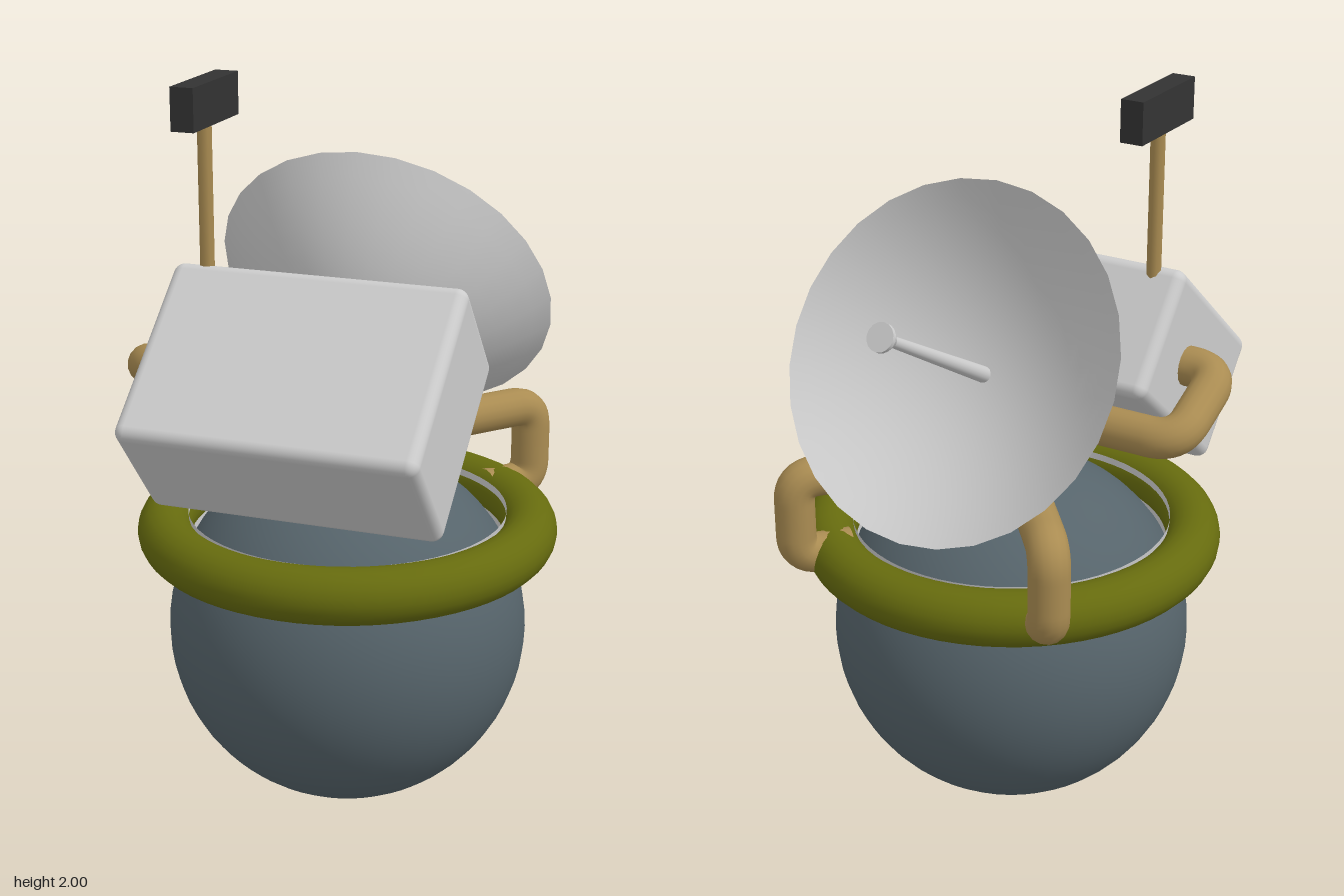
import * as THREE from 'three';
import { RoundedBoxGeometry } from 'three/addons/geometries/RoundedBoxGeometry.js';

const V = (x, y, z) => new THREE.Vector3(x, y, z);
const paint = (color) => new THREE.MeshStandardMaterial({ color });

// Pipe path: straight runs joined by rounded elbows
function pipe(points, bend, radius) {
  const path = new THREE.CurvePath();
  let start = points[0];
  for (let i = 1; i < points.length - 1; i++) {
    const corner = points[i];
    const a = corner.clone().add(points[i - 1].clone().sub(corner).setLength(bend));
    const b = corner.clone().add(points[i + 1].clone().sub(corner).setLength(bend));
    path.add(new THREE.LineCurve3(start, a));
    path.add(new THREE.QuadraticBezierCurve3(a, corner, b));
    start = b;
  }
  path.add(new THREE.LineCurve3(start, points[points.length - 1]));
  return new THREE.TubeGeometry(path, 80, radius, 16);
}

export function createModel() {
  const model = new THREE.Group();
  const grey = paint(0xcccccc);
  const olive = paint(0x666b0e);
  const tan = paint(0xaa8c52);
  const slate = paint(0x56646b);
  const dark = paint(0x333333);

  function add(name, geometry, material, x = 0, y = 0, z = 0, parent = model) {
    const mesh = new THREE.Mesh(geometry, material);
    mesh.name = name;
    mesh.position.set(x, y, z);
    parent.add(mesh);
    return mesh;
  }

  // Spherical body and the collar around it
  add('body', new THREE.SphereGeometry(0.49, 48, 32), slate, 0, 0.49, 0);
  add('collar', new THREE.TorusGeometry(0.495, 0.074, 20, 64), olive, 0, 0.777, 0).rotation.x = Math.PI / 2;
  const bandMaterial = paint(0xcccccc);
  bandMaterial.side = THREE.DoubleSide;
  add('collarLining', new THREE.CylinderGeometry(0.432, 0.422, 0.12, 64, 1, true), bandMaterial, 0, 0.77, 0);

  // Hub: twelve alternating panels under a cone
  const hub = new THREE.Group();
  hub.name = 'hub';
  model.add(hub);
  const olivePanel = paint(0x666b0e);
  const greyPanel = paint(0xcccccc);
  olivePanel.flatShading = greyPanel.flatShading = true;
  for (let i = 0; i < 12; i++) {
    const panel = new THREE.CylinderGeometry(0.173, 0.173, 0.12, 1, 1, false, i * Math.PI / 6, Math.PI / 6);
    add('hubPanel', panel, i % 2 ? greyPanel : olivePanel, 0, 1.03, 0, hub);
  }
  add('hubCone', new THREE.ConeGeometry(0.173, 0.16, 12), olivePanel, 0, 1.17, 0, hub);

  // Rear arms: out from the hub, down, and back into the collar
  for (const [name, s] of [['leftArm', 1], ['rightArm', -1]]) {
    const points = [V(0, 1.02, 0), V(s * 0.385, 1.02, -0.46), V(s * 0.385, 0.795, -0.46), V(s * 0.29, 0.795, -0.347)];
    add(name, pipe(points, 0.065, 0.054), tan);
  }

  // Side pipe from the hub round to the equipment box
  add('boxPipe', pipe([V(0, 1.15, 0), V(-0.492, 1.15, 0), V(-0.492, 1.255, 0.242), V(-0.3, 1.255, 0.242)], 0.08, 0.054), tan);

  // Tilted equipment box
  add('equipmentBox', new RoundedBoxGeometry(0.79, 0.36, 0.54, 4, 0.03), grey, 0, 1.225, 0.303).rotation.x = THREE.MathUtils.degToRad(40);

  // Mast with sensor head
  add('mast', new THREE.CylinderGeometry(0.02, 0.02, 0.46, 8), tan, -0.308, 1.68, 0.203);
  add('sensorHead', new THREE.BoxGeometry(0.062, 0.11, 0.28), dark, -0.304, 1.945, 0.205);

  // Dish: parabolic outside, shallower parabolic inside, meeting at a sharp rim
  const dish = new THREE.Group();
  dish.name = 'dish';
  dish.position.set(0, 1.378, -0.305);
  dish.rotation.x = -Math.PI / 3;
  model.add(dish);
  const R = 0.47;
  const bowl = (depth) => Array.from({ length: 13 }, (_, i) => {
    const t = i / 12;
    return new THREE.Vector2(R * t, -depth * (1 - t * t));
  });
  add('dishShell', new THREE.LatheGeometry(bowl(0.31), 28), grey, 0, 0, 0, dish);
  add('dishFace', new THREE.LatheGeometry(bowl(0.19).reverse(), 28), grey, 0, 0, 0, dish);

  // Feed rod with flared tip
  add('feedRod', new THREE.CylinderGeometry(0.014, 0.022, 0.5, 16), grey, 0, 0.05, 0, dish);
  add('feedTip', new THREE.CylinderGeometry(0.037, 0.014, 0.045, 16), grey, 0, 0.305, 0, dish);
  add('feedCap', new THREE.CylinderGeometry(0.037, 0.037, 0.012, 16), grey, 0, 0.333, 0, dish);

  return model;
}
